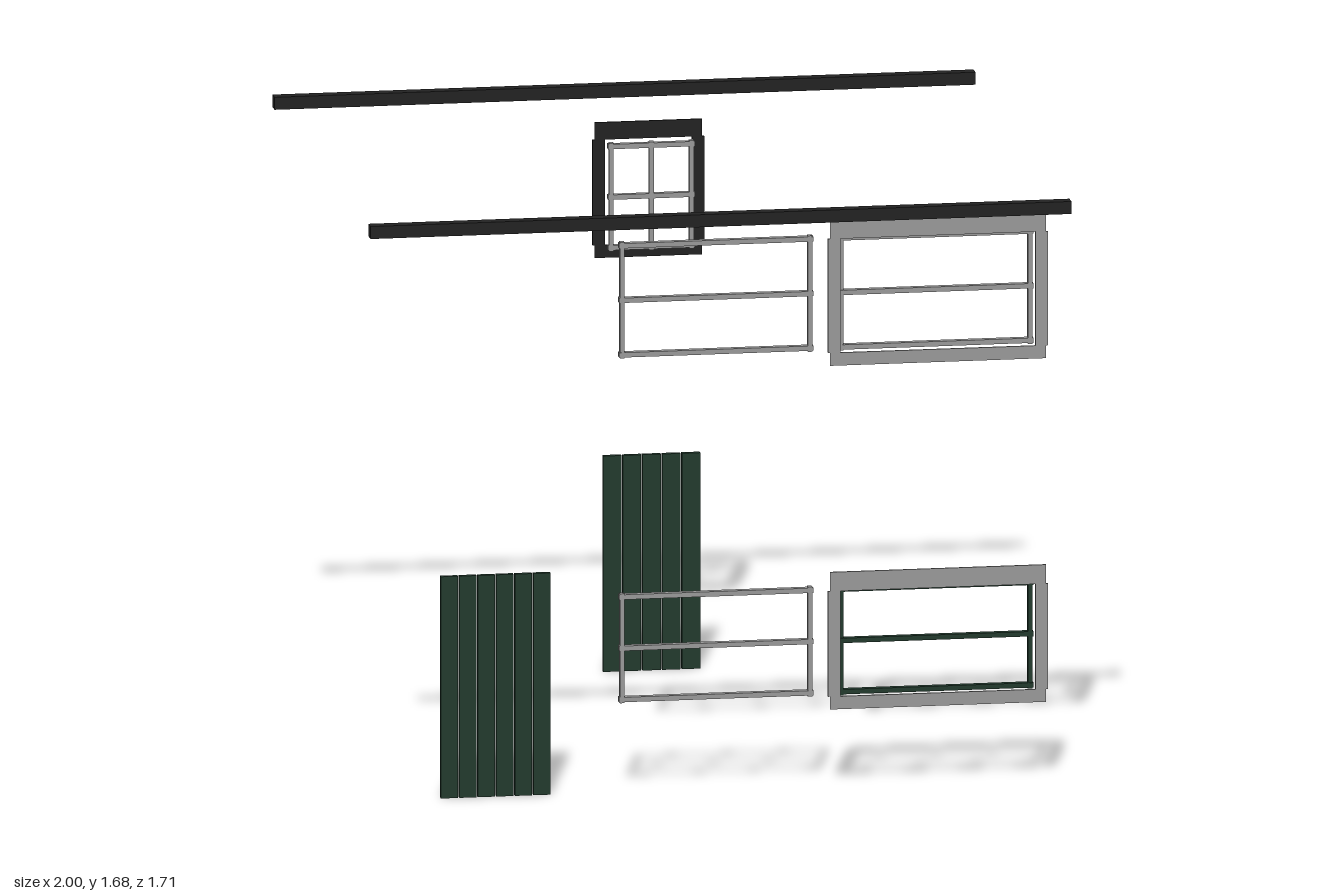
import * as THREE from 'three';

const mat = (name, color) => Object.assign(new THREE.MeshStandardMaterial({ color }), { name });

export function createModel() {
  const model = new THREE.Group();
  model.name = 'facadeTrim';
  const black = mat('blackTrim', 0x222222);
  const grey = mat('greyTrim', 0x999999);
  const green = mat('darkGreenPaint', 0x223a2d);

  // Box given by its limits along each axis
  function bar(parent, name, material, x0, x1, y0, y1, z0, z1) {
    const mesh = new THREE.Mesh(new THREE.BoxGeometry(x1 - x0, y1 - y0, z1 - z0), material);
    mesh.position.set((x0 + x1) / 2, (y0 + y1) / 2, (z0 + z1) / 2);
    mesh.name = name;
    parent.add(mesh);
  }
  function group(name) {
    const g = new THREE.Group();
    g.name = name;
    model.add(g);
    return g;
  }

  // Thin flat surround: head and sill boards between slightly proud side boards
  function casing(name, material, x0, x1, y0, y1, head, sill, side, z) {
    const g = group(name), a = z - 0.003, b = z + 0.003, lip = 0.006;
    bar(g, 'headBoard', material, x0, x1, y1 - head, y1, a, b);
    bar(g, 'sillBoard', material, x0, x1, y0, y0 + sill, a, b);
    bar(g, 'leftBoard', material, x1 + lip - side, x1 + lip, y0 + sill, y1 - head, a, b);
    bar(g, 'rightBoard', material, x0 - lip, x0 - lip + side, y0 + sill, y1 - head, a, b);
  }

  // Window sash: two stiles, three rails and an optional middle bar
  function sash(name, material, x0, x1, y0, y1, z0, z1, middleBar) {
    const g = group(name), w = 0.016, e = 0.003, mid = (y0 + y1) / 2, cx = (x0 + x1) / 2;
    bar(g, 'rightStile', material, x0 + e, x0 + w, y0, y1, z0 + 0.001, z1 - 0.001);
    bar(g, 'leftStile', material, x1 - w, x1 - e, y0, y1, z0 + 0.001, z1 - 0.001);
    for (const y of [y0 + 0.01, mid, y1 - 0.01]) {
      bar(g, 'rail', material, x0, x1, y - 0.007, y + 0.007, z0, z1);
    }
    if (middleBar) bar(g, 'middleBar', material, cx - 0.007, cx + 0.007, y0, y1, z0 + 0.001, z1 - 0.001);
  }

  // Plank door with narrow gaps
  function door(name, x0, x1, height, count, z0, z1) {
    const g = group(name), step = (x1 - x0) / count, gap = 0.002;
    for (let i = 0; i < count; i++) {
      bar(g, 'plank', green, x0 + i * step + gap, x0 + (i + 1) * step - gap, 0, height, z0, z1);
    }
  }

  // Eaves beams
  bar(model, 'frontEavesBeam', black, -1, 1, 1.642, 1.678, 0.821, 0.857);
  bar(model, 'backEavesBeam', black, -1, 1, 1.642, 1.678, -0.857, -0.821);

  // Front windows on two storeys
  for (const [storey, y0, y1, c0, c1, paint] of [
    ['upper', 1.253, 1.588, 1.222, 1.643, grey],
    ['lower', 0.258, 0.574, 0.23, 0.626, green],
  ]) {
    sash(storey + 'MiddleSash', grey, -0.278, 0.277, y0, y1, 0.759, 0.779, false);
    sash(storey + 'LeftSash', paint, 0.346, 0.905, y0, y1, 0.759, 0.779, false);
    casing(storey + 'LeftCasing', grey, 0.316, 0.932, c0, c1, 0.055, 0.037, 0.036, 0.826);
  }

  // Back window
  sash('backSash', grey, -0.058, 0.19, 1.212, 1.524, -0.778, -0.761, true);
  casing('backCasing', black, -0.087, 0.22, 1.181, 1.572, 0.05, 0.037, 0.035, -0.823);

  // Doors
  door('frontDoor', -0.787, -0.47, 0.64, 6, 0.756, 0.771);
  door('backDoor', -0.075, 0.206, 0.623, 5, -0.771, -0.756);

  return model;
}
